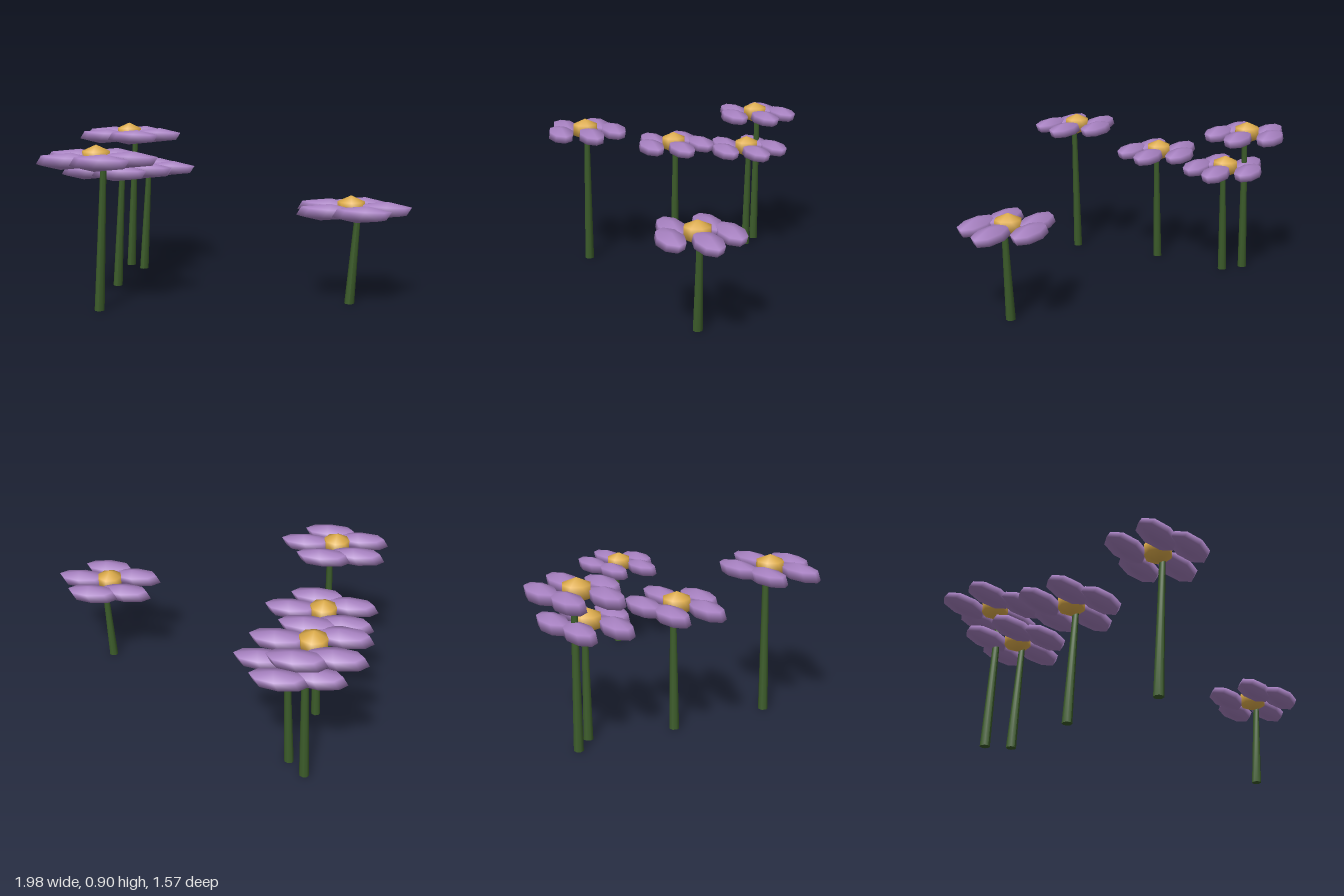
import * as THREE from 'three';

const petalMat = new THREE.MeshStandardMaterial({ color: 0xa882c2 });
const centreMat = new THREE.MeshStandardMaterial({ color: 0xe0ae4c });
const stemMat = new THREE.MeshStandardMaterial({ color: 0x3c5c2a });

// Coarse sphere, turned slightly before being flattened into a petal
const petalGeo = new THREE.SphereGeometry(1, 8, 3).rotateZ(-0.17).scale(0.165, 0.045, 0.08);
const centreGeo = new THREE.SphereGeometry(1, 8, 3).scale(0.084, 0.065, 0.084);

const LEAN = 0.038; // sideways offset of the stem top
const RING = 0.167; // distance of petals from the flower centre

function makeFlower(x, z, height) {
  const flower = new THREE.Group();
  flower.name = 'flower';
  flower.position.set(x, 0, z);

  // Tapered stem, sheared so that its foot stays flat on the ground
  const stemGeo = new THREE.CylinderGeometry(0.016, 0.027, height, 8).translate(0, height / 2, 0);
  stemGeo.applyMatrix4(new THREE.Matrix4().makeShear(0, 0, LEAN / height, 0, 0, 0));
  stemGeo.computeVertexNormals();
  const stem = new THREE.Mesh(stemGeo, stemMat);
  stem.name = 'stem';
  flower.add(stem);

  // Five petals in a ring, all lying along x
  for (let i = 0; i < 5; i++) {
    const a = (i / 5) * Math.PI * 2;
    const petal = new THREE.Mesh(petalGeo, petalMat);
    petal.name = 'petal';
    petal.position.set(Math.cos(a) * RING, height, Math.sin(a) * RING);
    flower.add(petal);
  }

  const centre = new THREE.Mesh(centreGeo, centreMat);
  centre.name = 'flowerCentre';
  centre.position.y = height + 0.012;
  flower.add(centre);
  return flower;
}

export function createModel() {
  const model = new THREE.Group();
  model.name = 'flowerPatch';
  // x, z, head height
  const flowers = [
    [-0.65, 0.56, 0.8],
    [0.665, 0.29, 0.515],
    [-0.67, 0, 0.677],
    [-0.6, -0.46, 0.633],
    [-0.7, -0.555, 0.828],
  ];
  for (const [x, z, h] of flowers) model.add(makeFlower(x, z, h));
  return model;
}
